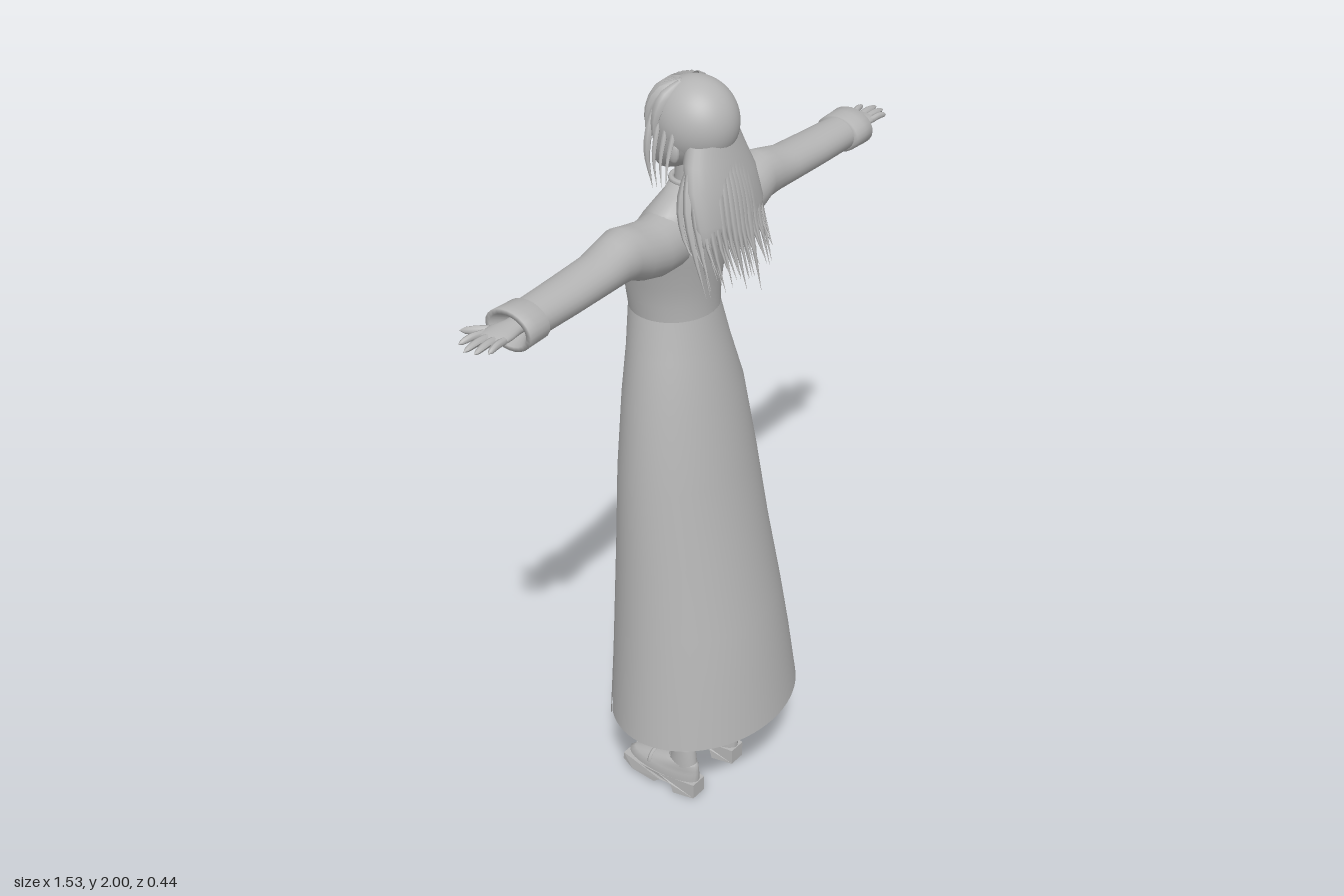
import * as THREE from 'three';

const grey = new THREE.MeshStandardMaterial({ color: 0xb4b4b4, side: THREE.DoubleSide });
grey.name = 'plain grey';

const add = (parent, name, geometry) => {
  const mesh = new THREE.Mesh(geometry, grey);
  mesh.name = name;
  parent.add(mesh);
  return mesh;
};

// Skin through oval rings [y, halfWidth, zMin, zMax, xOffset], bottom to top.
// range(y) gives the start and end angle of an open ring, measured from +z towards +x.
function loft(rings, n = 28, range = null) {
  const pos = [], index = [], cols = range ? n + 1 : n;
  rings.forEach(([y, hw, z0, z1, cx = 0]) => {
    const [a, b] = range ? range(y) : [0, Math.PI * 2];
    for (let j = 0; j < cols; j++) {
      const t = a + (b - a) * j / n;
      pos.push(cx + hw * Math.sin(t), y, (z0 + z1) / 2 + (z1 - z0) / 2 * Math.cos(t));
    }
  });
  for (let i = 0; i < rings.length - 1; i++) for (let j = 0; j < n; j++) {
    const k = (j + 1) % cols, a = i * cols + j, b = i * cols + k;
    index.push(a, b, a + cols, b, b + cols, a + cols);
  }
  const g = new THREE.BufferGeometry();
  g.setAttribute('position', new THREE.Float32BufferAttribute(pos, 3));
  g.setIndex(index);
  g.computeVertexNormals();
  return g;
}

// Round strand along a path, its radius following profile(t)
function strand(points, radius, profile, seg = 8, sides = 6) {
  const curve = new THREE.CatmullRomCurve3(points.map(p => new THREE.Vector3(...p)));
  const g = new THREE.TubeGeometry(curve, seg, radius, sides);
  const p = g.attributes.position, v = new THREE.Vector3();
  for (let i = 0; i < p.count; i++) {
    const t = Math.floor(i / (sides + 1)) / seg, c = curve.getPointAt(t);
    v.fromBufferAttribute(p, i).sub(c).multiplyScalar(profile(t)).add(c);
    p.setXYZ(i, v.x, v.y, v.z);
  }
  g.computeVertexNormals();
  return g;
}
const lock = t => Math.max(0.03, Math.min(1, 0.5 + t * 2) * Math.min(1, (1 - t) * 1.8));
const finger = t => Math.max(0.05, Math.sqrt(1 - t ** 4));

let seed = 7;
const rand = () => (seed = (seed * 16807) % 2147483647) / 2147483647;

function buildDress(root) {
  const dress = new THREE.Group();
  dress.name = 'dress';
  root.add(dress);
  const skirt = [
    [0.29, 0.275, -0.22, 0.22], [0.45, 0.255, -0.217, 0.2], [0.6, 0.238, -0.214, 0.175],
    [0.8, 0.216, -0.209, 0.135], [1.0, 0.198, -0.204, 0.1], [1.2, 0.168, -0.197, 0.068],
    [1.32, 0.137, -0.193, 0.038], [1.42, 0.113, -0.195, 0.018]];
  // The skirt is slit on both sides of a slightly longer front panel
  const edge = 2.24, gap = y => 0.03 * Math.max(0, (1.2 - y) / 0.9);
  add(dress, 'skirt', loft(skirt, 48, y => [-edge + gap(y), edge - gap(y)]));
  const panel = skirt.map(r => [...r]);
  panel[0] = [0.268, 0.277, -0.222, 0.222];
  add(dress, 'frontPanel', loft(panel, 24, y => [edge, Math.PI * 2 - edge]));
  add(dress, 'bodice', loft([
    [1.42, 0.113, -0.195, 0.018], [1.46, 0.117, -0.2, 0.018], [1.51, 0.125, -0.204, 0.022],
    [1.57, 0.14, -0.193, 0.03], [1.62, 0.15, -0.165, 0.035], [1.67, 0.147, -0.13, 0.033],
    [1.705, 0.12, -0.105, 0.025], [1.73, 0.075, -0.09, 0.012], [1.75, 0.045, -0.085, 0]], 36));
  const collar = add(dress, 'collar', new THREE.TorusGeometry(0.041, 0.007, 8, 28));
  collar.rotation.x = Math.PI / 2;
  collar.position.set(0, 1.752, -0.043);
}

function buildHead(root) {
  const head = new THREE.Group();
  head.name = 'head';
  root.add(head);
  add(head, 'neck', loft([[1.72, 0.036, -0.08, 0], [1.78, 0.031, -0.076, -0.008], [1.85, 0.033, -0.08, 0]], 20));
  add(head, 'face', loft([
    [1.763, 0.004, -0.118, -0.108], [1.768, 0.02, -0.128, -0.08], [1.785, 0.042, -0.13, -0.04],
    [1.81, 0.062, -0.127, 0], [1.84, 0.073, -0.125, 0.035], [1.88, 0.08, -0.122, 0.055],
    [1.93, 0.078, -0.117, 0.055], [1.965, 0.055, -0.09, 0.03], [1.985, 0.005, -0.035, -0.025]], 28));
  const nose = add(head, 'nose', new THREE.ConeGeometry(0.007, 0.026, 6));
  nose.position.set(0, 1.826, -0.128);
  for (const s of [-1, 1]) {
    const ear = add(head, 'ear', new THREE.SphereGeometry(1, 12, 8));
    ear.scale.set(0.009, 0.026, 0.016);
    ear.position.set(s * 0.08, 1.845, -0.025);
  }
}

function buildHair(root) {
  const hair = new THREE.Group();
  hair.name = 'hair';
  root.add(hair);
  const cap = add(hair, 'hairCap', new THREE.SphereGeometry(1, 36, 24, 0, Math.PI * 2, 0, Math.PI * 0.56));
  cap.scale.set(0.093, 0.102, 0.102);
  cap.rotation.x = 0.62;
  cap.position.set(0, 1.896, -0.024);
  add(hair, 'backHair', loft([
    [1.65, 0.105, 0.06, 0.095], [1.7, 0.12, 0.035, 0.105], [1.78, 0.115, 0.0, 0.09],
    [1.83, 0.097, -0.02, 0.078], [1.87, 0.08, -0.02, 0.068]], 28));
  // Two layers of loose pointed ends
  for (let layer = 0; layer < 2; layer++) for (let i = 0; i < 19; i++) {
    const u = (i + layer * 0.5) / 9.25 - 1, arc = 1 - u * u, dz = layer * -0.03;
    const tip = 1.5 + rand() * 0.09 + (1 - arc) * 0.04;
    add(hair, 'backLock', strand([
      [u * 0.08, 1.85, 0.02 + arc * 0.045],
      [u * 0.122, 1.74, 0.045 + arc * 0.052 + dz],
      [u * 0.13, 1.65, 0.07 + arc * 0.045 + dz],
      [u * 0.13 + (rand() - 0.5) * 0.012, tip, 0.1 + arc * 0.045 + dz]], 0.0095, lock, 8, 5));
  }
  // Fringe from the crown over the forehead
  for (let i = 0; i < 13; i++) {
    const u = i / 6 - 1, arc = Math.sqrt(Math.max(0, 1 - u * u * 0.9));
    add(hair, 'fringeLock', strand([
      [u * 0.03, 1.988, -0.045], [u * 0.066, 1.962, -0.04 - arc * 0.063],
      [u * 0.087, 1.91, -0.04 - arc * 0.095],
      [u * 0.088 + (rand() - 0.5) * 0.015, 1.835 + rand() * 0.025, -0.04 - arc * 0.097]], 0.014, lock));
  }
  // Side locks and thin wisps
  for (const s of [-1, 1]) for (let i = 0; i < 4; i++) {
    const z = -0.085 + i * 0.022;
    add(hair, 'sideLock', strand([
      [s * 0.075, 1.93, z], [s * 0.092, 1.88, z],
      [s * (0.098 + i * 0.004), 1.83, z], [s * (0.092 + i * 0.012), 1.75 + i * 0.01, z + 0.01]], i ? 0.006 : 0.009, lock));
  }
}

// Arm along +x; ring x offsets lower the section once it is turned sideways
function buildArm() {
  const arm = new THREE.Group();
  arm.name = 'arm';
  const along = rings => loft(rings, 24).rotateZ(-Math.PI / 2).translate(0, 1.655, 0);
  add(arm, 'sleeve', along([
    [0.08, 0.075, -0.11, 0.025, 0.02], [0.15, 0.068, -0.108, 0.028, 0.022], [0.21, 0.066, -0.105, 0.026, 0.008],
    [0.25, 0.062, -0.1, 0.022, -0.006], [0.29, 0.056, -0.094, 0.02, -0.004], [0.35, 0.047, -0.087, 0.022, 0.001],
    [0.46, 0.043, -0.082, 0.026, 0.002], [0.58, 0.041, -0.076, 0.024, 0.004]]));
  add(arm, 'cuff', along([
    [0.572, 0.038, -0.076, 0.024, 0.004], [0.574, 0.045, -0.087, 0.034, 0.004], [0.61, 0.046, -0.088, 0.035, 0.004],
    [0.637, 0.047, -0.09, 0.036, 0.004], [0.638, 0.036, -0.078, 0.024, 0.004], [0.6, 0.02, -0.05, 0, 0.004]]));
  add(arm, 'palm', along([
    [0.58, 0.017, -0.048, 0], [0.63, 0.017, -0.05, 0.002], [0.66, 0.015, -0.062, 0.008],
    [0.69, 0.012, -0.06, 0.009], [0.702, 0.003, -0.05, 0]]));
  [[-0.052, 0.745, -0.066], [-0.034, 0.763, -0.036], [-0.016, 0.757, -0.012], [0.001, 0.737, 0.009]].forEach(([z, x, zTip]) =>
    add(arm, 'finger', strand([[0.68, 1.656, z], [(x + 0.68) / 2, 1.659, (z + zTip) / 2], [x, 1.654, zTip]], 0.0085, finger, 8, 8)));
  add(arm, 'thumb', strand([[0.64, 1.65, -0.04], [0.665, 1.648, -0.075], [0.69, 1.645, -0.115]], 0.011, finger, 8, 8));
  return arm;
}

function buildLeg() {
  const leg = new THREE.Group();
  leg.name = 'leg';
  add(leg, 'shinAndThigh', loft([
    [0.08, 0.023, -0.03, 0.032], [0.16, 0.024, -0.027, 0.026], [0.24, 0.029, -0.036, 0.034],
    [0.36, 0.034, -0.042, 0.045], [0.5, 0.035, -0.055, 0.032], [0.8, 0.05, -0.09, 0.03], [1.15, 0.062, -0.12, 0.03]], 20));
  add(leg, 'sock', loft([[0.09, 0.027, -0.045, 0.037], [0.145, 0.0265, -0.031, 0.03], [0.15, 0.023, -0.026, 0.025]], 20));
  add(leg, 'shoeUpper', loft([
    [0.035, 0.037, -0.183, 0.044], [0.055, 0.038, -0.182, 0.045], [0.068, 0.034, -0.165, 0.045],
    [0.08, 0.031, -0.125, 0.044], [0.095, 0.028, -0.075, 0.042], [0.1, 0.024, -0.05, 0.036]], 24));
  // Sole with a block heel, narrowed towards toe and heel
  const side = new THREE.Shape([[-0.046, 0], [0.012, 0], [0.02, 0.027], [0.055, 0.025], [0.075, 0.008], [0.15, 0.01],
    [0.186, 0.024], [0.184, 0.045], [0.12, 0.045], [0.06, 0.045], [-0.046, 0.045]].map(p => new THREE.Vector2(...p)));
  const sole = new THREE.ExtrudeGeometry(side, { depth: 0.08, bevelEnabled: false });
  sole.translate(0, 0, -0.04).rotateY(Math.PI / 2);
  const p = sole.attributes.position;
  for (let i = 0; i < p.count; i++) {
    const d = (p.getZ(i) + 0.08) / 0.13;
    p.setX(i, p.getX(i) * (1 - 0.45 * d * d * Math.abs(d)));
  }
  sole.computeVertexNormals();
  add(leg, 'sole', sole);
  const strap = add(leg, 'shoeStrap', new THREE.TorusGeometry(0.031, 0.006, 6, 20, Math.PI));
  strap.scale.y = 0.9;
  strap.position.set(0, 0.062, -0.095);
  leg.position.x = 0.086;
  return leg;
}

export function createModel() {
  const root = new THREE.Group();
  root.name = 'figureInLongDress';
  buildDress(root);
  buildHead(root);
  buildHair(root);
  for (const s of [-1, 1]) {
    const half = new THREE.Group();
    half.name = s > 0 ? 'leftLimbs' : 'rightLimbs';
    half.add(buildArm(), buildLeg());
    half.scale.x = s;
    root.add(half);
  }
  return root;
}
